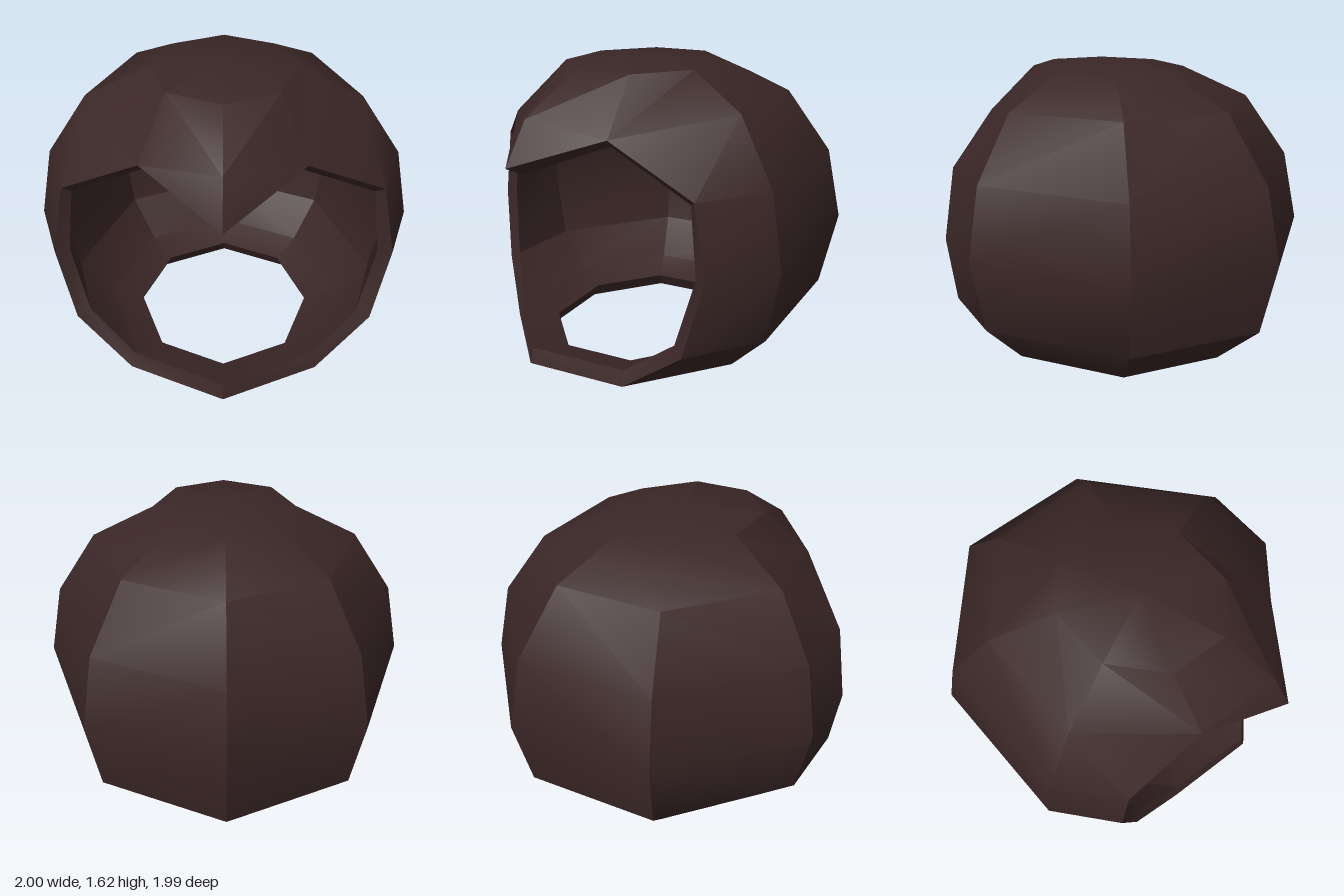
import * as THREE from 'three';
import { toCreasedNormals } from 'three/addons/utils/BufferGeometryUtils.js';

const COLS = 8, CENTRE_Z = 0.15, DEPTH = 1.14;

// Eight-sided rings [height, radius], top to bottom, with the points that shape
// the face opening given as 'row,column': [x, y, z] and mirrored across x.
function makeGrid(rows, special) {
  return rows.map(([y, r], i) => Array.from({ length: COLS }, (_, j) => {
    const key = special[`${i},${j}`], mirrored = special[`${i},${COLS - j}`];
    if (key) return key;
    if (mirrored) return [-mirrored[0], mirrored[1], mirrored[2]];
    const a = j / COLS * Math.PI * 2;
    return [r * Math.sin(a), y, CENTRE_Z + r * DEPTH * Math.cos(a)];
  }));
}

function makeGeometry(triangles) {
  const g = new THREE.BufferGeometry();
  g.setAttribute('position', new THREE.Float32BufferAttribute(triangles.flat(2), 3));
  return toCreasedNormals(g, THREE.MathUtils.degToRad(31));
}

// Domed surface with the face opening left out
function shell(grid, topY, inward) {
  const tris = [], apex = [0, topY, CENTRE_Z];
  for (let j = 0; j < COLS; j++) {
    const k = (j + 1) % COLS;
    tris.push([apex, grid[0][j], grid[0][k]]);
    for (let i = 0; i < grid.length - 1; i++) {
      const a = grid[i][j], b = grid[i + 1][j], c = grid[i + 1][k], d = grid[i][k];
      const front = j === 0 || j === COLS - 1;
      if (front && i >= 2 && i <= 4) continue;
      if (front && i === 1) tris.push(j === 0 ? [a, b, d] : [a, c, d]); // brow peak
      else if (j < COLS / 2) tris.push([a, b, d], [b, c, d]);
      else tris.push([a, b, c], [a, c, d]);
    }
  }
  return makeGeometry(inward ? tris.map(([a, b, c]) => [a, c, b]) : tris);
}

// Closed band joining the outer and inner surfaces along a loop of grid points
function rim(outer, inner, loop) {
  const tris = [];
  loop.forEach(([i, j], n) => {
    const [p, q] = loop[(n + 1) % loop.length];
    const a = outer[i][j], b = inner[i][j], c = inner[p][q], d = outer[p][q];
    tris.push([a, b, c], [a, c, d]);
  });
  return makeGeometry(tris);
}

export function createModel() {
  const group = new THREE.Group();
  group.name = 'helmet';
  const darkBrown = new THREE.MeshStandardMaterial({ color: 0x3a2626 });
  darkBrown.name = 'dark brown';

  const outer = makeGrid(
    [[1.585, 0.38], [1.425, 0.707], [1.1, 0.924], [0.72, 1], [0.325, 0.92], [0.09, 0.697], [0.02, 0.525]],
    {
      '1,0': [0, 1.385, 0.88], '1,1': [0.39, 1.33, 0.69],
      '2,0': [0, 1.165, 1], '2,1': [0.795, 1.1, 0.52],
      '3,1': [0.87, 0.72, 0.525], '4,1': [0.78, 0.33, 0.58],
      '5,0': [0, 0.085, 0.935], '5,1': [0.49, 0.09, 0.71],
      '6,0': [0, 0.005, 0.72],
    });
  const inner = makeGrid(
    [[1.5, 0.34], [1.35, 0.63], [1.07, 0.83], [0.72, 0.905], [0.36, 0.83], [0.165, 0.64], [0.1, 0.48]],
    {
      '1,0': [0, 1.3, 0.81], '1,1': [0.37, 1.29, 0.655],
      '2,0': [0, 1.12, 0.915], '2,1': [0.75, 1.075, 0.5],
      '3,1': [0.795, 0.72, 0.505], '4,1': [0.71, 0.365, 0.56],
      '5,0': [0, 0.165, 0.91], '5,1': [0.47, 0.165, 0.685],
    });

  // Face opening: brow peak, down one cheek, across the chin, up the other
  const faceLoop = [[2, 0]];
  for (let i = 1; i <= 5; i++) faceLoop.push([i, 1]);
  faceLoop.push([5, 0]);
  for (let i = 5; i >= 1; i--) faceLoop.push([i, COLS - 1]);
  const neckLoop = Array.from({ length: COLS }, (_, j) => [6, j]);

  const parts = {
    outerShell: shell(outer, 1.63, false),
    innerLining: shell(inner, 1.54, true),
    faceRim: rim(outer, inner, faceLoop),
    neckRim: rim(outer, inner, neckLoop),
  };
  for (const [name, geometry] of Object.entries(parts)) {
    const mesh = new THREE.Mesh(geometry, darkBrown);
    mesh.name = name;
    group.add(mesh);
  }
  return group;
}
